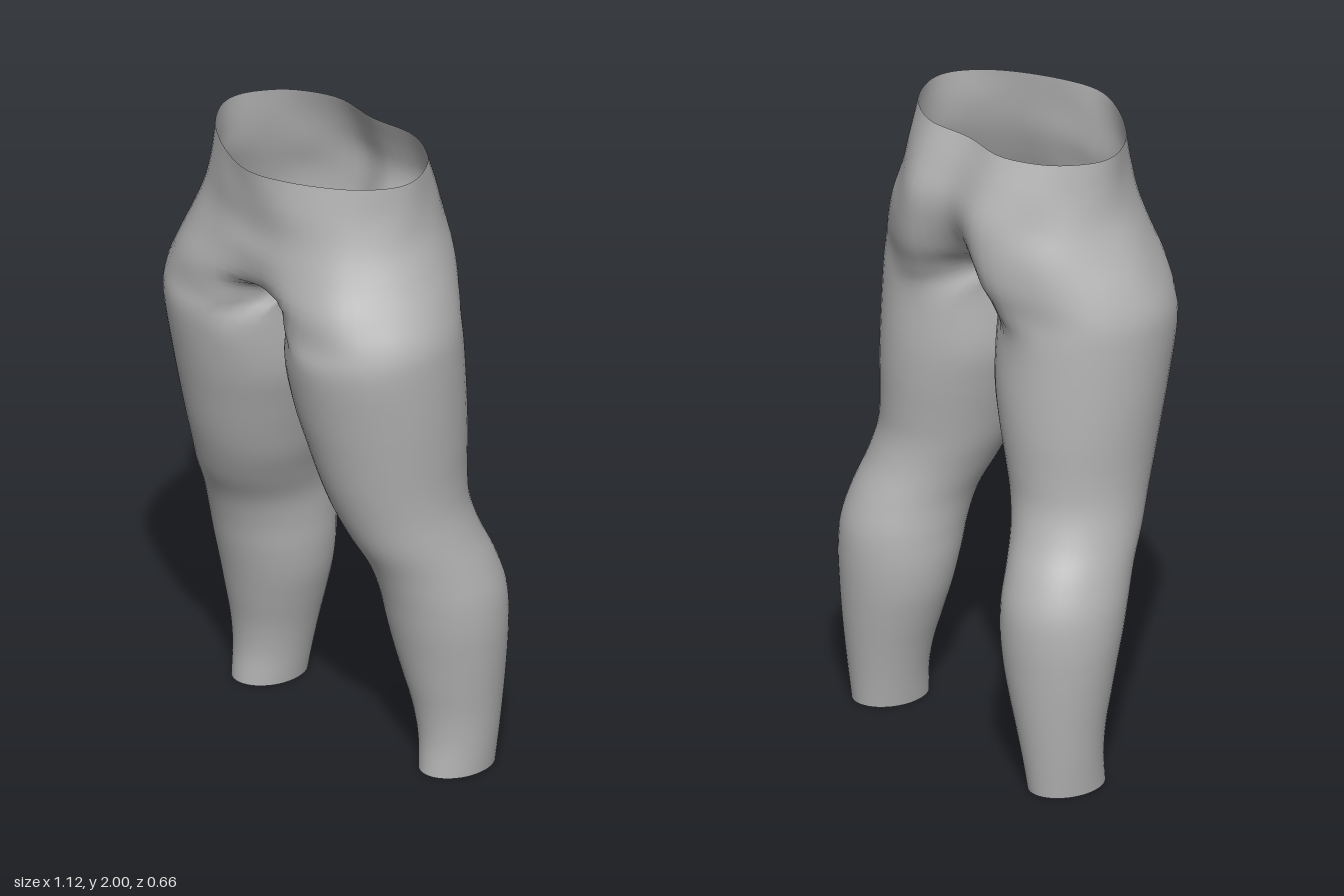
import * as THREE from 'three';
import { mergeVertices } from 'three/addons/utils/BufferGeometryUtils.js';

const AROUND = 48;  // columns round one leg
const OUTER = 36;   // segments that continue up into the hips
const STEPS = 4;    // smooth rows between two sections

// Leg sections: height, inner x, outer x, front z, back z
const LEG = [
  [0.00, 0.31, 0.51, -0.025, -0.28],
  [0.10, 0.292, 0.52, -0.034, -0.292],
  [0.20, 0.268, 0.53, -0.025, -0.305],
  [0.30, 0.238, 0.542, -0.003, -0.317],
  [0.40, 0.21, 0.553, 0.02, -0.326],
  [0.50, 0.195, 0.56, 0.045, -0.331],
  [0.60, 0.19, 0.557, 0.07, -0.325],
  [0.70, 0.18, 0.54, 0.105, -0.295],
  [0.80, 0.148, 0.52, 0.157, -0.255],
  [0.90, 0.11, 0.506, 0.198, -0.232],
  [1.00, 0.08, 0.505, 0.232, -0.233],
  [1.12, 0.045, 0.513, 0.264, -0.239],
  [1.25, 0.012, 0.521, 0.296, -0.238],
  [1.42, 0.005, 0.526, 0.328, -0.227],
];

// Half sections of the hips, x and z from the front centre to the back centre
const HIPS = [
  [1.51, [0, .15, .15, .305, .36, .3, .48, .19, .52, .05, .475, -.1, .36, -.2, .18, -.24, 0, -.07]],
  [1.6, [0, .275, .17, .318, .34, .29, .45, .17, .49, .04, .45, -.1, .35, -.21, .17, -.278, 0, -.17]],
  [1.7, [0, .303, .16, .302, .31, .26, .41, .15, .445, .03, .41, -.11, .32, -.22, .16, -.292, 0, -.24]],
  [1.8, [0, .293, .15, .285, .29, .23, .375, .13, .405, .02, .38, -.1, .3, -.2, .16, -.288, 0, -.262]],
  [1.9, [0, .302, .14, .285, .28, .21, .36, .11, .39, .02, .365, -.08, .29, -.18, .16, -.25, 0, -.235]],
  [2.0, [0, .315, .14, .275, .28, .19, .36, .1, .385, .02, .36, -.06, .29, -.145, .16, -.205, 0, -.19]],
];

const spline = (pts) => new THREE.CatmullRomCurve3(pts, false, 'catmullrom', 0.5);

// Closed ring, starting at the front inside and passing the outer side
function legRing([y, x0, x1, front, back]) {
  const cx = (x0 + x1) / 2, cz = (front + back) / 2;
  const ring = [];
  for (let i = 0; i < AROUND; i++) {
    const a = Math.PI * (0.75 - 2 * i / AROUND);
    ring.push(new THREE.Vector3(
      cx + (x1 - x0) / 2 * Math.cos(a), y, cz + (front - back) / 2 * Math.sin(a)));
  }
  return ring;
}

// Open half ring; the lowest one also gets the crotch seam
function hipRing([y, xz], level) {
  const pts = [];
  for (let k = 0; k < xz.length; k += 2) {
    const rise = level === 0 && xz[k] === 0 ? 0.03 : 0;
    pts.push(new THREE.Vector3(xz[k], y + rise, xz[k + 1]));
  }
  // mirrored neighbours keep the section smooth across the middle
  const flip = (p) => new THREE.Vector3(-p.x, p.y, p.z);
  const n = pts.length;
  const curve = spline([flip(pts[1]), ...pts, flip(pts[n - 2])]);
  const ring = [];
  for (let i = 0; i <= OUTER; i++) {
    ring.push(curve.getPoint((1 + (n - 1) * i / OUTER) / (n + 1)));
  }
  ring[0].x = ring[OUTER].x = 0;
  if (level === 0) {
    for (let i = OUTER + 1; i < AROUND; i++) {
      const t = (i - OUTER) / (AROUND - OUTER);
      const p = new THREE.Vector3().lerpVectors(ring[OUTER], ring[0], t);
      p.y -= 0.03 * Math.sin(Math.PI * t);
      ring.push(p);
    }
  }
  return ring;
}

function leggingsGeometry() {
  const rings = [...LEG.map(legRing), ...HIPS.map(hipRing)];
  const seamRow = LEG.length * STEPS;
  const positions = [], index = [];

  for (const side of [1, -1]) {
    // smooth each column from the ankle upwards
    const columns = [];
    for (let i = 0; i < AROUND; i++) {
      const keys = rings.filter((r) => r[i]).map((r) => r[i]);
      const curve = spline(keys);
      const rows = (keys.length - 1) * STEPS;
      const column = [];
      for (let j = 0; j <= rows; j++) {
        const p = curve.getPoint(j / rows);
        const onMiddle = j >= seamRow && (i === 0 || i >= OUTER);
        column.push(positions.length / 3);
        positions.push(onMiddle ? 0 : side * Math.max(p.x, 0.002), p.y, p.z);
      }
      columns.push(column);
    }
    // join neighbouring columns
    for (let i = 0; i < AROUND; i++) {
      const A = columns[i], B = columns[(i + 1) % AROUND];
      const rows = i < OUTER ? Math.min(A.length, B.length) - 1 : seamRow;
      for (let j = 0; j < rows; j++) {
        const a = A[j], b = B[j], c = B[j + 1], d = A[j + 1];
        if (side > 0) index.push(a, b, c, a, c, d);
        else index.push(a, c, b, a, d, c);
      }
    }
  }

  const geometry = new THREE.BufferGeometry();
  geometry.setAttribute('position', new THREE.Float32BufferAttribute(positions, 3));
  geometry.setIndex(index);
  const merged = mergeVertices(geometry, 1e-5); // close the middle seam
  merged.computeVertexNormals();
  return merged;
}

export function createModel() {
  const fabric = new THREE.MeshStandardMaterial({ color: 0xb4b4b4, side: THREE.DoubleSide });
  fabric.name = 'grey fabric';
  const leggings = new THREE.Mesh(leggingsGeometry(), fabric);
  leggings.name = 'leggings';
  const model = new THREE.Group();
  model.name = 'leggings model';
  model.add(leggings);
  return model;
}
